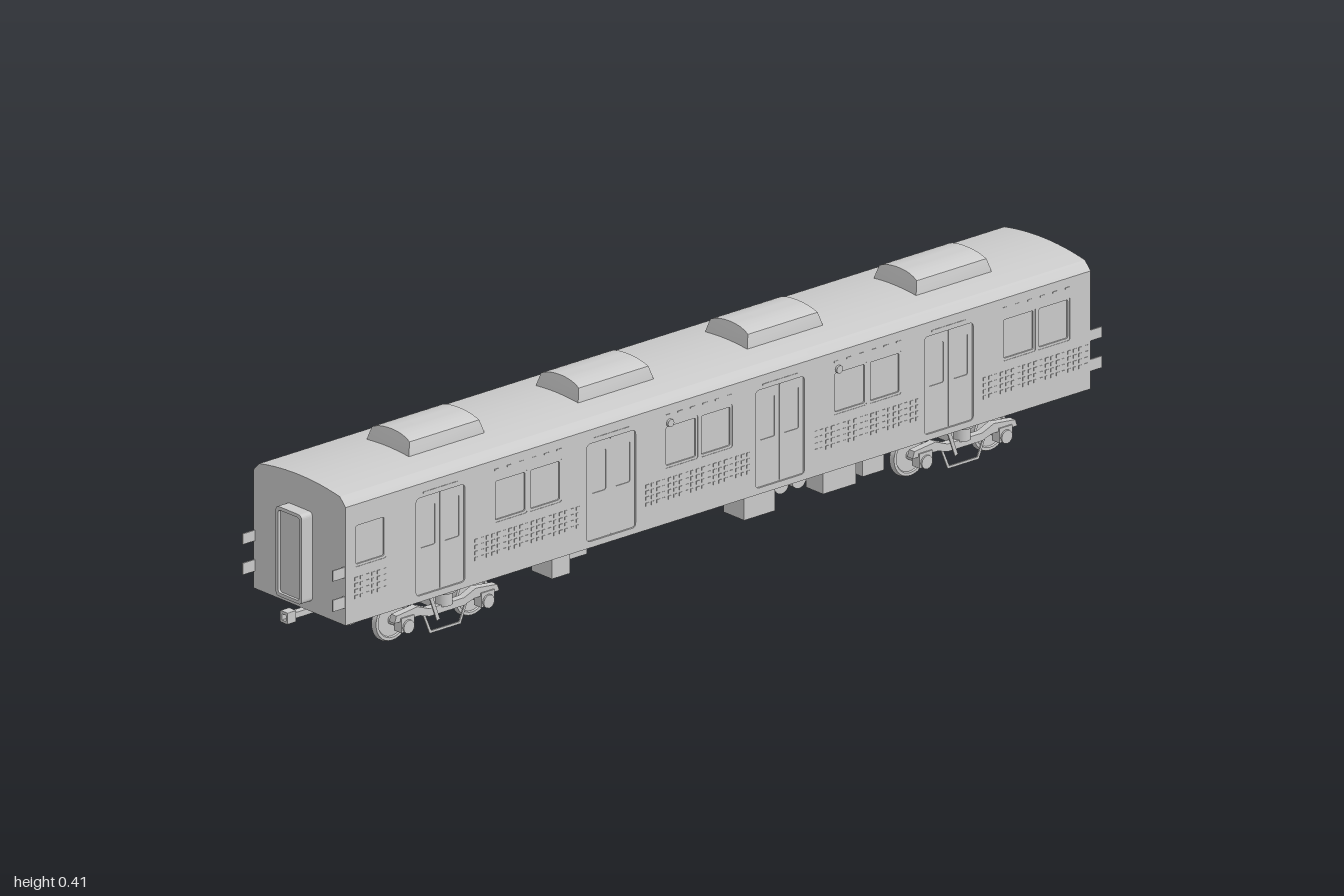
import * as THREE from 'three';
import { mergeGeometries, toCreasedNormals } from 'three/addons/utils/BufferGeometryUtils.js';

const grey = new THREE.MeshStandardMaterial({ color: 0xcccccc });
const DOORS = [0.715, 0.275, -0.16, -0.595];
const END = 0.96;

export function createModel() {
  const root = new THREE.Group();
  root.name = 'railCarriage';

  const add = (name, geo, parent = root, x = 0, y = 0, z = 0) => {
    const m = new THREE.Mesh(geo, grey);
    m.name = name;
    m.position.set(x, y, z);
    parent.add(m);
    return m;
  };
  const box = (name, w, h, d, x, y, z, parent) =>
    add(name, new THREE.BoxGeometry(w, h, d), parent, x, y, z);
  const axleCyl = (name, r, len, x, y, z, parent, n = 16) =>
    add(name, new THREE.CylinderGeometry(r, r, len, n).rotateZ(Math.PI / 2), parent, x, y, z);
  const extrude = (shape, depth, opts = {}) =>
    new THREE.ExtrudeGeometry(shape, { depth, bevelEnabled: false, curveSegments: 6, ...opts });
  const roundRect = (x0, x1, y0, y1, r, P = THREE.Shape) => {
    const s = new P();
    s.moveTo(x0 + r, y0);
    s.lineTo(x1 - r, y0); s.quadraticCurveTo(x1, y0, x1, y0 + r);
    s.lineTo(x1, y1 - r); s.quadraticCurveTo(x1, y1, x1 - r, y1);
    s.lineTo(x0 + r, y1); s.quadraticCurveTo(x0, y1, x0, y1 - r);
    s.lineTo(x0, y0 + r); s.quadraticCurveTo(x0, y0, x0 + r, y0);
    return s;
  };
  // Plate standing along z, its thickness running inward from x
  const sidePlate = (name, shape, thick, x, parent) =>
    add(name, extrude(shape, thick).rotateY(-Math.PI / 2), parent, x);

  // Body cross-section: straight sides, curved eaves, shallow arched roof
  const section = (side) => {
    const s = new THREE.Shape();
    s.moveTo(-side, 0.1);
    s.lineTo(side, 0.1);
    s.lineTo(side, 0.345);
    s.lineTo(0.135, 0.345);
    s.quadraticCurveTo(0.13, 0.352, 0.118, 0.363);
    s.quadraticCurveTo(0.06, 0.374, 0, 0.374);
    s.quadraticCurveTo(-0.06, 0.374, -0.118, 0.363);
    s.quadraticCurveTo(-0.13, 0.352, -0.135, 0.345);
    s.lineTo(-side, 0.345);
    return s;
  };
  const L = END - 0.006;
  add('bodyAndRoof', toCreasedNormals(extrude(section(0.131), 2 * L), 0.5), root, 0, 0, -L);
  for (const z of [L, -END]) add('endWall', extrude(section(0.135), 0.006), root, 0, 0, z);

  // Side walls with openings for windows and doors
  const panes = [[0.855, 0.937]];
  for (const d of DOORS) panes.push([d - 0.223, d - 0.137], [d - 0.312, d - 0.228]);
  for (const s of [1, -1]) {
    const x = (thick, out) => (s > 0 ? out : -out + thick);
    const wall = roundRect(-L, L, 0.1, 0.345, 0.0005);
    for (const [a, b] of panes) wall.holes.push(roundRect(a, b, 0.215, 0.305, 0.005, THREE.Path));
    for (const d of DOORS) wall.holes.push(roundRect(d - 0.063, d + 0.063, 0.113, 0.316, 0.01, THREE.Path));
    sidePlate('sideWall', wall, 0.0045, x(0.0045, 0.135));

    for (const [a, b] of panes) {
      const frame = roundRect(a, b, 0.215, 0.305, 0.005);
      frame.holes.push(roundRect(a + 0.005, b - 0.005, 0.22, 0.3, 0.004, THREE.Path));
      sidePlate('windowFrame', frame, 0.004, x(0.004, 0.1342));
    }
    // Double sliding doors, each leaf with a glazed opening
    for (const d of DOORS) for (const k of [-1, 1]) {
      const c = d + k * 0.031;
      const leaf = roundRect(c - 0.0305, c + 0.0305, 0.114, 0.315, 0.003);
      leaf.holes.push(roundRect(c - 0.019, c + 0.019, 0.21, 0.295, 0.004, THREE.Path));
      sidePlate('doorLeaf', leaf, 0.003, x(0.003, 0.1325));
    }

    // Grilles below the windows and small vents above them
    const bits = [];
    const bit = (h, w, y, z) =>
      bits.push(new THREE.BoxGeometry(0.0016, h, w).translate(s * 0.1352, y, z));
    for (const d of DOORS) {
      for (let i = 0; i < 19; i++) for (let r = 0; r < 4; r++)
        bit(0.007, 0.008, 0.153 + r * 0.0125, d - 0.092 - i * 0.0145);
      for (let i = 0; i < 6; i++) bit(0.003, 0.012, 0.325, d - 0.145 - i * 0.032);
      bit(0.003, 0.09, 0.325, d);
    }
    for (let i = 0; i < 6; i++) for (let r = 0; r < 4; r++) bit(0.007, 0.008, 0.153 + r * 0.0125, 0.86 + i * 0.0145);
    add('grilles', mergeGeometries(bits));

    for (const z of s > 0 ? [0.125, -0.31] : [0.08, -0.36])
      axleCyl('sideLamp', 0.008, 0.006, s * 0.137, 0.308, z);

    // Corner guard plates
    for (const e of [1, -1]) for (const [y, h] of [[0.148, 0.024], [0.21, 0.022]])
      box('cornerGuard', 0.003, h, 0.034, s * 0.132, y, e * 0.974);
  }

  // Roof ventilators: arched section, ends tapering inward with height
  const hood = new THREE.Shape();
  hood.moveTo(-0.062, 0.366);
  hood.lineTo(0.062, 0.366);
  hood.lineTo(0.061, 0.376);
  hood.lineTo(0.055, 0.398);
  hood.quadraticCurveTo(0.045, 0.403, 0.03, 0.406);
  hood.quadraticCurveTo(0, 0.411, -0.03, 0.406);
  hood.quadraticCurveTo(-0.045, 0.403, -0.055, 0.398);
  hood.lineTo(-0.061, 0.376);
  const hoodGeo = extrude(hood, 0.196).translate(0, 0, -0.098);
  const hp = hoodGeo.attributes.position;
  for (let i = 0; i < hp.count; i++)
    hp.setZ(i, hp.getZ(i) * (1 - Math.max(0, hp.getY(i) - 0.37) * 3));
  const hoodSmooth = toCreasedNormals(hoodGeo, 0.4);
  for (const z of [0.635, 0.199, -0.237, -0.672]) add('roofVentilator', hoodSmooth, root, 0, 0, z);

  // End gangways and couplers
  for (const e of [1, -1]) {
    const end = new THREE.Group();
    end.name = 'endFittings';
    end.rotation.y = e > 0 ? 0 : Math.PI;
    root.add(end);
    const frame = roundRect(-0.038, 0.038, 0.121, 0.307, 0.01);
    frame.holes.push(roundRect(-0.031, 0.031, 0.128, 0.3, 0.007, THREE.Path));
    add('gangwayFrame', extrude(frame, 0.03), end, 0, 0, 0.958);
    add('gangwayDoor', extrude(roundRect(-0.032, 0.032, 0.127, 0.301, 0.007), 0.024), end, 0, 0, 0.958);
    box('couplerMount', 0.045, 0.022, 0.05, 0, 0.092, 0.885, end);
    box('couplerBar', 0.014, 0.012, 0.12, 0, 0.088, 0.93, end);
    const head = roundRect(-0.011, 0.011, 0.076, 0.1, 0.002);
    head.holes.push(roundRect(-0.006, 0.006, 0.081, 0.094, 0.001, THREE.Path));
    add('couplerHead', extrude(head, 0.022), end, 0, 0, 0.978);
  }

  // Bogies
  const wheelGeo = new THREE.LatheGeometry([
    [0, -0.003], [0.034, -0.003], [0.036, -0.005], [0.045, -0.005], [0.045, -0.002],
    [0.042, 0.005], [0.036, 0.005], [0.034, 0.002], [0, 0.002],
  ].map(([a, b]) => new THREE.Vector2(a, b)), 28);
  const wheelFlat = toCreasedNormals(wheelGeo, 0.5).rotateZ(-Math.PI / 2);
  const sideFrame = new THREE.Shape();
  [[-0.135, 0.058], [-0.07, 0.058], [-0.045, 0.05], [0.045, 0.05], [0.07, 0.058], [0.135, 0.058],
    [0.13, 0.072], [0.075, 0.078], [0.045, 0.066], [-0.045, 0.066], [-0.075, 0.078], [-0.13, 0.072],
  ].forEach(([a, b], i) => (i ? sideFrame.lineTo(a, b) : sideFrame.moveTo(a, b)));
  const hanger = new THREE.Shape();
  [[-0.04, 0.012], [0.04, 0.012], [0.058, 0.056], [-0.058, 0.056]]
    .forEach(([a, b], i) => (i ? hanger.lineTo(a, b) : hanger.moveTo(a, b)));
  const gap = new THREE.Path();
  [[-0.036, 0.017], [-0.051, 0.052], [0.051, 0.052], [0.036, 0.017]]
    .forEach(([a, b], i) => (i ? gap.lineTo(a, b) : gap.moveTo(a, b)));
  hanger.holes.push(gap);

  for (const zc of [0.675, -0.66]) {
    const bogie = new THREE.Group();
    bogie.name = 'bogie';
    bogie.position.z = zc;
    root.add(bogie);
    box('bolster', 0.19, 0.022, 0.05, 0, 0.07, 0, bogie);
    box('centrePivot', 0.06, 0.04, 0.045, 0, 0.083, 0, bogie);
    for (const e of [1, -1]) {
      const z = e * 0.103;
      axleCyl('axle', 0.009, 0.23, 0, 0.045, z, bogie);
      for (const s of [1, -1]) {
        const wheel = add('wheel', wheelFlat, bogie, s * 0.06, 0.045, z);
        if (s < 0) wheel.rotation.y = Math.PI;
        axleCyl('axleBox', 0.014, 0.03, s * 0.1, 0.045, z, bogie, 12);
        box('axleBoxGuide', 0.022, 0.03, 0.034, s * 0.1, 0.05, z, bogie);
      }
    }
    for (const s of [1, -1]) {
      sidePlate('bogieSideFrame', sideFrame, 0.016, s * 0.1 + 0.008, bogie);
      sidePlate('stepHanger', hanger, 0.003, s * 0.102 + 0.0015, bogie);
      add('airSpring', new THREE.CylinderGeometry(0.028, 0.026, 0.01, 20), bogie, s * 0.097, 0.095, 0);
      add('springSeat', new THREE.CylinderGeometry(0.018, 0.018, 0.03, 16), bogie, s * 0.097, 0.077, 0);
      box('damper', 0.003, 0.058, 0.008, s * 0.122, 0.072, 0.045, bogie).rotation.x = 0.35;
    }
  }

  // Underfloor equipment: [width, bottom, length, x, z]
  for (const [w, y0, d, x, z] of [
    [0.07, 0.045, 0.07, -0.08, 0.445], [0.06, 0.045, 0.047, 0.075, 0.378], [0.07, 0.038, 0.07, 0, 0.285],
    [0.06, 0.045, 0.08, 0.085, -0.125], [0.05, 0.045, 0.08, -0.08, -0.125],
    [0.05, 0.045, 0.085, 0.085, -0.335], [0.05, 0.055, 0.055, 0.085, -0.422], [0.06, 0.04, 0.14, -0.08, -0.365],
  ]) box('equipmentBox', w, 0.102 - y0, d, x, (0.102 + y0) / 2, z);
  for (const z of [-0.185, -0.23, -0.275]) {
    axleCyl('airTank', 0.019, 0.12, 0, 0.066, z);
    for (const s of [1, -1]) box('tankStrap', 0.006, 0.035, 0.01, s * 0.035, 0.09, z);
  }

  return root;
}
